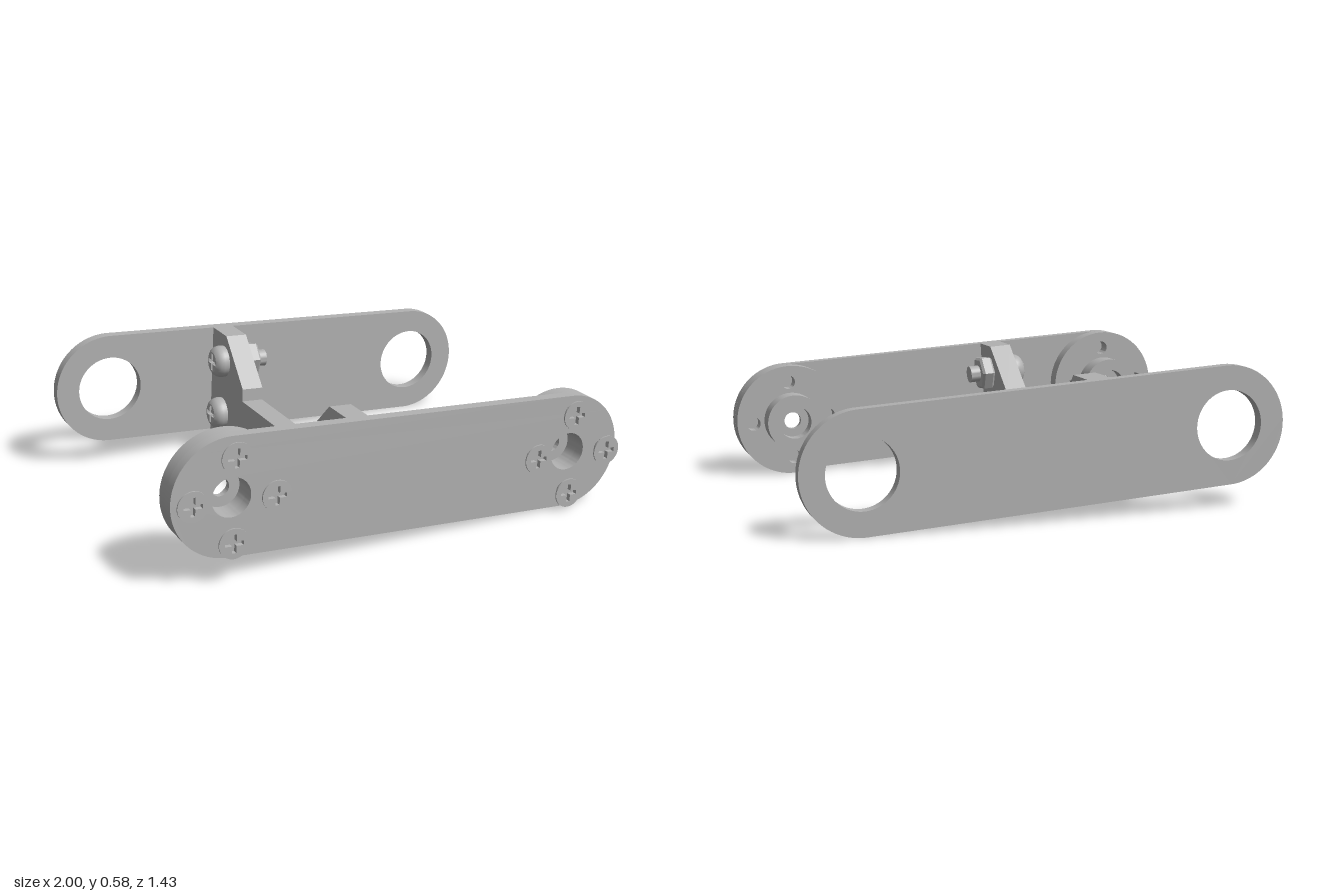
import * as THREE from 'three';
import { toCreasedNormals } from 'three/addons/utils/BufferGeometryUtils.js';

const END = 0.758;   // distance from centre to each plate end centre
const R = 0.243;     // plate end radius
const BOLT_CIRCLE = 0.17;

export function createModel() {
  const steel = new THREE.MeshStandardMaterial({ color: 0xb2b2b2 });
  steel.name = 'grey steel';

  const add = (parent, name, geometry) => {
    const mesh = new THREE.Mesh(toCreasedNormals(geometry, 0.5), steel);
    mesh.name = name;
    parent.add(mesh);
    return mesh;
  };
  const circle = (x, y, r) => new THREE.Shape().absarc(x, y, r, 0, Math.PI * 2);
  // Extrudes a shape between two z planes
  const slab = (shape, z0, z1) => new THREE.ExtrudeGeometry(shape,
    { depth: z1 - z0, bevelEnabled: false, curveSegments: 32 }).translate(0, 0, z0);
  // Turned part along z from [radius, z] pairs
  const turned = (points) => new THREE.LatheGeometry(
    points.map(([r, z]) => new THREE.Vector2(r, z)), 32).rotateX(Math.PI / 2);

  const aroundHub = (x) => [0, 1, 2, 3].map((i) => [
    x + BOLT_CIRCLE * Math.cos(i * Math.PI / 2), BOLT_CIRCLE * Math.sin(i * Math.PI / 2)]);

  const plateShape = (holeRadius) => {
    const s = new THREE.Shape();
    s.absarc(END, 0, R, -Math.PI / 2, Math.PI / 2);
    s.absarc(-END, 0, R, Math.PI / 2, Math.PI * 1.5);
    s.closePath();
    for (const x of [-END, END]) s.holes.push(circle(x, 0, holeRadius));
    return s;
  };

  // Screw head with a sunken cross; the lathe profile ends at radius 0.045
  const screwHead = (parent, name, profile) => {
    const g = new THREE.Group();
    g.name = name;
    parent.add(g);
    const top = profile[profile.length - 1][1];
    add(g, 'headBody', turned(profile));
    const face = circle(0, 0, 0.045);
    const L = 0.038, w = 0.009;
    face.holes.push(new THREE.Path([
      [L, -w], [L, w], [w, w], [w, L], [-w, L], [-w, w],
      [-L, w], [-L, -w], [-w, -w], [-w, -L], [w, -L], [w, -w],
    ].map(([x, y]) => new THREE.Vector2(x, y))));
    add(g, 'crossRecess', slab(face, top - 0.02, top));
    add(g, 'recessFloor', new THREE.CircleGeometry(0.045, 24).translate(0, 0, top - 0.02));
    return g;
  };

  const model = new THREE.Group();
  model.name = 'bracketAssembly';
  const frame = new THREE.Group();
  frame.name = 'tiltedFrame';
  frame.position.y = 0.291;
  frame.rotation.z = -0.0634;
  model.add(frame);

  // End plates
  add(frame, 'frontPlate', slab(plateShape(0.08), 0.625, 0.673));
  add(frame, 'backPlate', slab(plateShape(0.143), -0.715, -0.667));

  // Connecting web, drawn in (-z, y) and extruded across its thickness
  const web = new THREE.Shape([
    [-0.625, -R], [0.667, -R], [0.667, R], [0.52, R], [0.325, 0.055], [0.325, 0],
    [-0.29, 0], [-0.29, 0.055], [-0.485, R], [-0.625, R],
  ].map(([x, y]) => new THREE.Vector2(x, y)));
  add(frame, 'web', slab(web, -0.27, -0.175).rotateY(Math.PI / 2));

  // Hubs with countersunk screws
  for (const [side, x] of [['right', -END], ['left', END]]) {
    const hub = new THREE.Group();
    hub.name = side + 'Hub';
    frame.add(hub);
    const flange = circle(x, 0, R);
    flange.holes.push(circle(x, 0, 0.08));
    for (const [hx, hy] of aroundHub(x)) flange.holes.push(circle(hx, hy, 0.03));
    add(hub, 'flange', slab(flange, 0.565, 0.625));
    const boss = circle(x, 0, 0.122);
    boss.holes.push(circle(x, 0, 0.072));
    add(hub, 'boss', slab(boss, 0.48, 0.54));
    const wall = circle(x, 0, 0.122);
    wall.holes.push(circle(x, 0, 0.037));
    add(hub, 'boreWall', slab(wall, 0.54, 0.565));
    for (const [hx, hy] of aroundHub(x)) {
      const screw = screwHead(hub, 'countersunkScrew', [
        [0, 0], [0.032, 0], [0.062, 0.036], [0.062, 0.042], [0.045, 0.042]]);
      screw.position.set(hx, hy, 0.673);
    }
  }

  // Bolts through the web: [z, y, nut turn]
  const bolts = [
    [0.51, 0.122, 0.08], [0.51, -0.122, 0], [-0.02, -0.122, 0],
    [-0.54, 0.122, -0.2], [-0.54, -0.122, 0],
  ];
  for (const [z, y, turn] of bolts) {
    const bolt = new THREE.Group();
    bolt.name = 'bolt';
    bolt.position.set(0, y, z);
    frame.add(bolt);
    const head = screwHead(bolt, 'panHead', [
      [0, 0], [0.07, 0], [0.071, 0.02], [0.067, 0.036], [0.058, 0.049], [0.045, 0.057]]);
    head.position.x = -0.27;
    head.rotation.y = -Math.PI / 2;

    const hex = new THREE.Shape(Array.from({ length: 6 }, (_, i) => new THREE.Vector2(
      0.07 * Math.cos(i * Math.PI / 3), 0.07 * Math.sin(i * Math.PI / 3))));
    const nut = add(bolt, 'hexNut', new THREE.ExtrudeGeometry(hex, {
      depth: 0.038, bevelThickness: 0.01, bevelSize: 0.009, bevelSegments: 1 }).translate(0, 0, 0.01));
    nut.position.x = -0.175;
    nut.rotation.set(0, Math.PI / 2, turn);

    const shank = add(bolt, 'shankEnd', turned([
      [0, 0], [0.037, 0], [0.037, 0.1], [0, 0.1]]));
    shank.position.x = -0.173;
    shank.rotation.y = Math.PI / 2;
  }
  return model;
}
